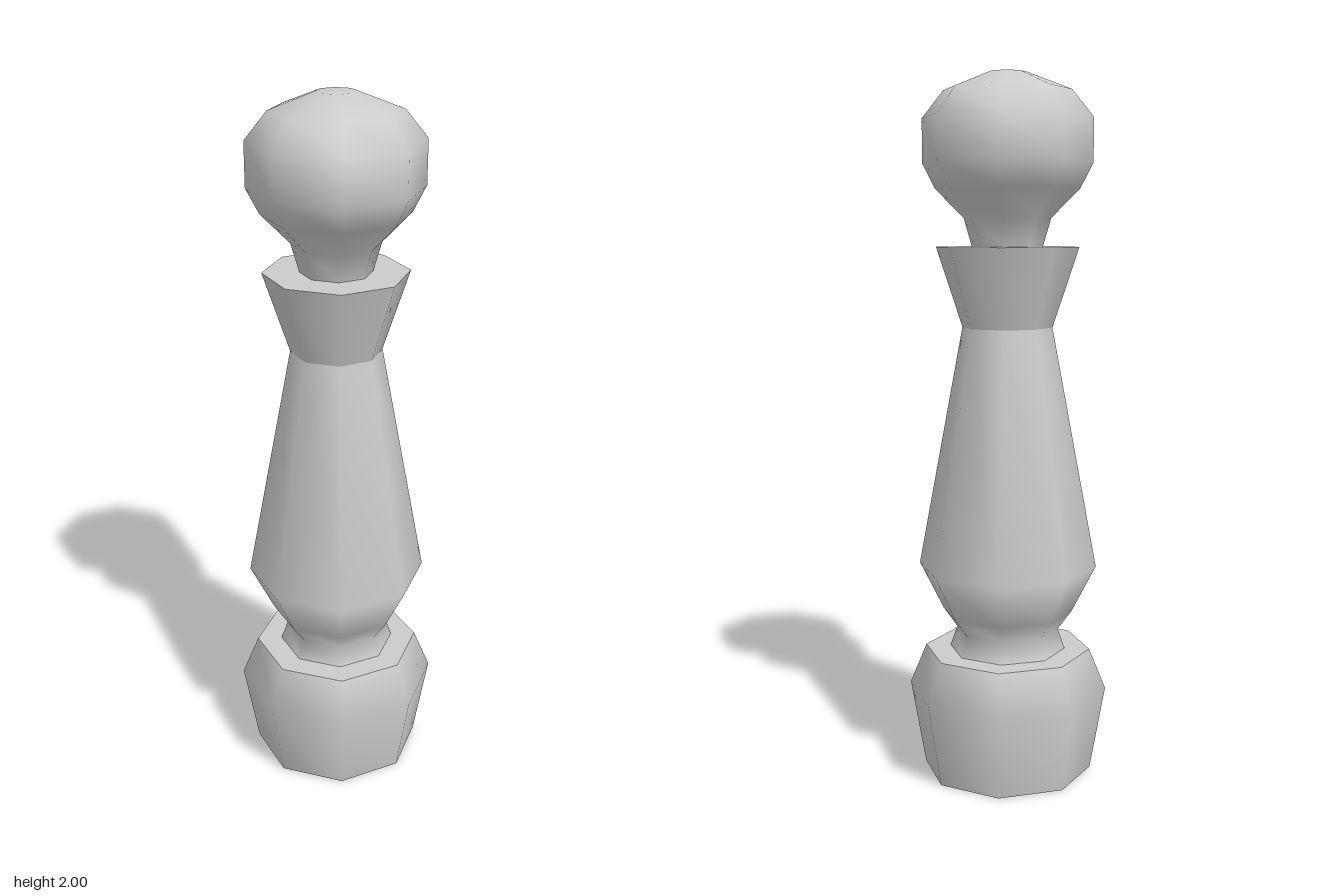
import * as THREE from 'three';

const SIDES = 8;

// Each part is an eight-sided turned section, listed as [radius, height] from bottom to top.
// Separate sections keep hard edges between them and smooth shading within.
const sections = {
  baseUnderside: [[0, 0], [0.245, 0]],
  base: [[0.245, 0], [0.288, 0.245], [0.24, 0.362]],
  baseTop: [[0.24, 0.362], [0, 0.362]],
  body: [[0.168, 0.362], [0.148, 0.42], [0.188, 0.475], [0.257, 0.61], [0.128, 1.3]],
  collar: [[0.128, 1.3], [0.202, 1.525]],
  collarTop: [[0.202, 1.525], [0, 1.525]],
  headAndNeck: [
    [0.1, 1.525], [0.123, 1.605], [0.203, 1.685], [0.239, 1.755],
    [0.239, 1.878], [0.178, 1.953], [0.055, 2], [0, 2],
  ],
};

export function createModel() {
  const model = new THREE.Group();
  model.name = 'turnedPost';
  const material = new THREE.MeshStandardMaterial({ color: 0xcccccc });

  for (const [name, profile] of Object.entries(sections)) {
    const points = profile.map(([r, y]) => new THREE.Vector2(r, y));
    const mesh = new THREE.Mesh(new THREE.LatheGeometry(points, SIDES), material);
    mesh.name = name;
    model.add(mesh);
  }
  return model;
}
